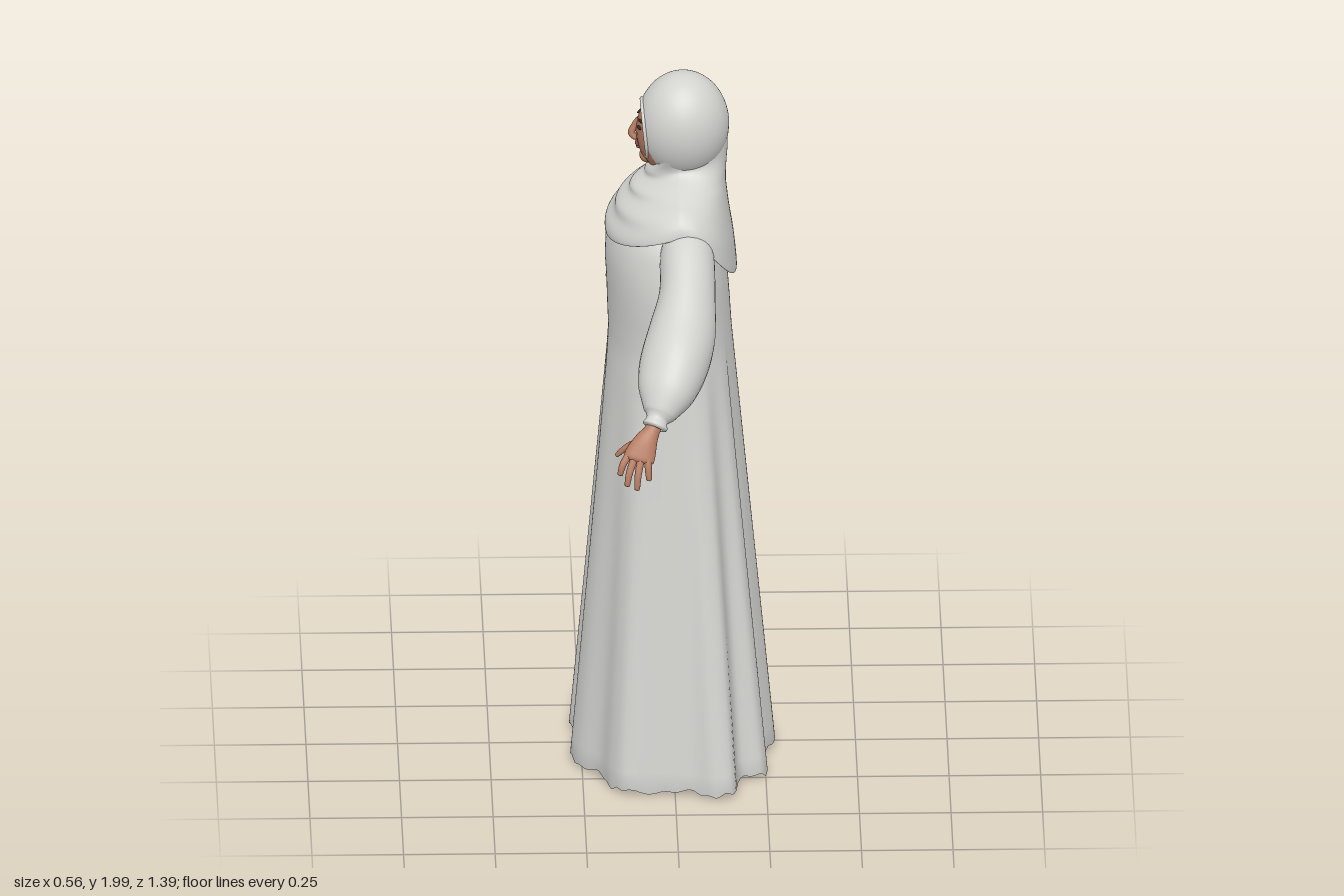
import * as THREE from 'three';

const V = (x, y, z) => new THREE.Vector3(x, y, z);

// Skin a list of closed rings with smooth normals
function loft(rings) {
  const n = rings[0].length, pos = [], idx = [];
  rings.forEach(r => r.forEach(p => pos.push(p.x, p.y, p.z)));
  for (let i = 0; i < rings.length - 1; i++)
    for (let j = 0; j < n; j++) {
      const a = i * n + j, b = i * n + (j + 1) % n;
      idx.push(a, b, a + n, b, b + n, a + n);
    }
  const g = new THREE.BufferGeometry();
  g.setAttribute('position', new THREE.Float32BufferAttribute(pos, 3));
  g.setIndex(idx);
  g.computeVertexNormals();
  return g;
}

// Elliptical tube through nodes [x, y, z, radius along ref, radius across]
function sweep(nodes, ref = V(1, 0, 0), steps = 24, sides = 20, wrinkle = () => 0) {
  const path = new THREE.CatmullRomCurve3(nodes.map(n => V(n[0], n[1], n[2])));
  const size = new THREE.CatmullRomCurve3(nodes.map(n => V(n[3], n[4], 0)), false, 'catmullrom', 0.5);
  const rings = [];
  for (let i = 0; i <= steps; i++) {
    const t = i / steps, p = path.getPoint(t), r = size.getPoint(t), T = path.getTangent(t);
    const U = ref.clone().addScaledVector(T, -ref.dot(T)).normalize();
    const W = T.clone().cross(U);
    const ring = [];
    for (let j = 0; j < sides; j++) {
      const a = j / sides * Math.PI * 2, k = 1 + wrinkle(t, a);
      ring.push(p.clone()
        .addScaledVector(U, Math.max(r.x, 0.0005) * k * Math.cos(a))
        .addScaledVector(W, Math.max(r.y, 0.0005) * k * Math.sin(a)));
    }
    rings.push(ring);
  }
  return loft(rings);
}

export function createModel() {
  const root = new THREE.Group();
  const material = (name, color, side = THREE.FrontSide) => {
    const m = new THREE.MeshStandardMaterial({ color, side });
    m.name = name;
    return m;
  };
  const cloth = material('paleCloth', 0xd2d2cf, THREE.DoubleSide);
  const skin = material('skin', 0xb47a60);
  const dark = material('darkBrown', 0x3a2620);
  const lip = material('lips', 0x94504a);
  const add = (name, geo, mat, parent = root) => {
    const m = new THREE.Mesh(geo, mat);
    m.name = name;
    parent.add(m);
    return m;
  };
  const ball = (name, mat, p, r, parent) => {
    const m = add(name, new THREE.SphereGeometry(1, 24, 16), mat, parent);
    m.position.set(...p);
    m.scale.set(...r);
    return m;
  };

  // Dress: scalloped hem blending straight up into an oval bodice
  const hem = [
    [-.17, -.33], [-.2, -.27], [-.215, -.21], [-.26, -.17], [-.28, -.1], [-.26, -.05], [-.25, .01],
    [-.275, .06], [-.28, .11], [-.26, .17], [-.205, .24], [-.175, .32], [-.14, .36], [-.04, .365],
    [.05, .375], [.11, .4], [.16, .385], [.18, .28], [.24, .26], [.255, .21], [.22, .15], [.255, .09],
    [.28, .02], [.265, -.07], [.22, -.13], [.235, -.2], [.23, -.29], [.18, -.3], [.14, -.395],
    [.09, -.38], [-.03, -.36], [-.13, -.36]
  ];
  const hemCurve = new THREE.CatmullRomCurve3(hem.map(p => V(p[0], 0, p[1])), true);
  const hemPts = Array.from({ length: 192 }, (_, i) => hemCurve.getPoint(i / 192));
  const oval = (p, y, xf, xb, zh) => {
    const a = Math.atan2(p.z / .4, p.x / .28);
    return V((xf + xb) / 2 + (xb - xf) / 2 * Math.cos(a), y, zh * Math.sin(a));
  };
  const waist = [1.25, -.175, .162, .222];
  const dressRings = [hemPts.map((p, i) => V(p.x * .97, .022 + .004 * Math.sin(i * .9), p.z * .97))];
  for (let k = 0; k <= 24; k++) {
    const t = k / 24;
    dressRings.push(hemPts.map((p, i) => {
      const q = p.clone().lerp(oval(p, 0, ...waist.slice(1)), t);
      const ragged = k === 0 ? .005 * Math.sin(i * .55) + .004 * Math.sin(i * 1.3) : 0;
      return q.setY(.016 + (waist[0] - .016) * t + ragged);
    }));
  }
  [[1.33, -.178, .157, .226], [1.4, -.18, .152, .228], [1.46, -.184, .147, .222], [1.52, -.182, .138, .212],
    [1.58, -.163, .13, .198], [1.63, -.12, .12, .15], [1.67, -.06, .09, .06], [1.68, .01, .012, .001]]
    .forEach(r => dressRings.push(hemPts.map(p => oval(p, ...r))));
  add('dress', loft(dressRings), cloth);

  // Headscarf cape: [front x, back x, half width, front y, side y, back y]
  const capeRows = [
    [-.055, .15, .112, 1.75, 1.81, 1.87], [-.075, .151, .09, 1.722, 1.755, 1.79],
    [-.086, .148, .096, 1.7, 1.732, 1.745], [-.118, .146, .13, 1.675, 1.71, 1.7],
    [-.135, .148, .165, 1.648, 1.69, 1.665], [-.16, .156, .205, 1.615, 1.668, 1.6],
    [-.176, .168, .232, 1.58, 1.64, 1.52], [-.185, .176, .241, 1.54, 1.612, 1.435],
    [-.177, .168, .234, 1.54, 1.612, 1.435]
  ];
  const capeSpan = capeRows.length - 1;
  const rowCurves = [0, 3].map(o => new THREE.CatmullRomCurve3(
    capeRows.map(r => V(r[o], r[o + 1], r[o + 2])), false, 'catmullrom', .5));
  const capeRings = [];
  for (let i = 0; i <= 48; i++) {
    const t = i / 48, s = rowCurves[0].getPoint(t), h = rowCurves[1].getPoint(t);
    const flat = 1 - .4 * Math.min(1, t * capeSpan / 6);
    const ring = [];
    for (let j = 0; j < 96; j++) {
      const a = j / 96 * Math.PI * 2, c = Math.cos(a), back = c > 0;
      const w = Math.abs(c), xc = .02;
      const x = back ? xc + (s.y - xc) * Math.pow(w, flat) : xc + (s.x - xc) * w;
      const roll = back ? 0 : .006 * w * Math.sin(t * 26 + a * 2) * Math.sin(Math.PI * t);
      ring.push(V(x - roll, h.y + ((back ? h.z : h.x) - h.y) * w, s.z * Math.sin(a)));
    }
    capeRings.push(ring);
  }
  add('scarfCape', loft(capeRings), cloth);

  // Hood with a round opening for the face, and its rolled rim
  const open = .6, pitch = Math.PI / 2 + .12;
  const hood = new THREE.SphereGeometry(1, 48, 32, 0, Math.PI * 2, open, Math.PI - open);
  hood.rotateZ(pitch).scale(.126, .15, .122).translate(.029, 1.85, 0);
  hood.computeVertexNormals();
  add('scarfHood', hood, cloth);
  const rimPts = Array.from({ length: 32 }, (_, i) => {
    const a = i / 32 * Math.PI * 2;
    return V(Math.sin(open) * Math.cos(a), Math.cos(open), Math.sin(open) * Math.sin(a))
      .applyAxisAngle(V(0, 0, 1), pitch).multiply(V(.126, .15, .122)).add(V(.029, 1.85, 0));
  });
  add('scarfRim', new THREE.TubeGeometry(new THREE.CatmullRomCurve3(rimPts, true), 64, .006, 8, true), cloth);

  // Face
  const face = new THREE.Group();
  face.name = 'face';
  root.add(face);
  ball('faceSurface', skin, [0, 1.83, 0], [.1, .122, .097], face);
  ball('chin', skin, [-.068, 1.757, 0], [.022, .02, .03], face);
  add('nose', sweep([[-.094, 1.868, 0, .004, .006], [-.104, 1.845, 0, .008, .009],
    [-.111, 1.822, 0, .01, .013], [-.1, 1.81, 0, .008, .014], [-.094, 1.808, 0, .001, .001]]), skin, face);
  ball('upperLip', lip, [-.095, 1.793, 0], [.007, .005, .02], face);
  ball('lowerLip', lip, [-.092, 1.784, 0], [.007, .005, .016], face);
  for (const s of [-1, 1]) {
    ball('eye', dark, [-.091, 1.852, s * .034], [.004, .005, .012], face).rotation.y = s * .4;
    ball('eyebrow', dark, [-.088, 1.872, s * .035], [.004, .003, .017], face).rotation.y = s * .4;
  }

  // Arms, hands, legs and feet, mirrored across z
  for (const s of [1, -1]) {
    const side = s > 0 ? 'right' : 'left';
    const m = nodes => nodes.map(n => [n[0], n[1], n[2] * s, n[3], n[4]]);
    const limb = (name, nodes, mat, ref, steps, sides, wrinkle) =>
      add(side + name, sweep(m(nodes), ref, steps, sides, wrinkle), mat);

    limb('Sleeve', [
      [.035, 1.575, .15, .06, .06], [.035, 1.54, .215, .074, .08], [.033, 1.475, .31, .077, .08],
      [.018, 1.4, .395, .092, .085], [-.005, 1.335, .475, .094, .088], [-.028, 1.28, .54, .078, .07],
      [-.048, 1.238, .583, .045, .042], [-.055, 1.226, .595, .03, .03], [-.061, 1.213, .607, .035, .032],
      [-.063, 1.209, .61, .024, .022]
    ], cloth, undefined, 54, 32, (t, a) => .025 * Math.sin(a * 3 + t * 9) * Math.sin(Math.PI * t)
      + .03 * Math.sin(a * 9) * Math.max(0, t - .65));

    limb('Palm', [
      [-.055, 1.23, .595, .022, .018], [-.068, 1.205, .614, .022, .016], [-.085, 1.18, .63, .032, .017],
      [-.1, 1.15, .646, .041, .015], [-.107, 1.133, .655, .038, .012], [-.109, 1.126, .658, .002, .002]
    ], skin);
    const fingers = [
      [[-.133, 1.147, .645], [-.15, 1.122, .662], [-.157, 1.096, .668]],
      [[-.118, 1.138, .652], [-.132, 1.103, .674], [-.138, 1.07, .683]],
      [[-.1, 1.136, .655], [-.108, 1.098, .677], [-.111, 1.06, .687]],
      [[-.08, 1.142, .652], [-.08, 1.112, .668], [-.078, 1.083, .676]],
      [[-.092, 1.182, .624], [-.135, 1.157, .613], [-.165, 1.128, .606]]
    ];
    fingers.forEach(([a, b, c], i) => {
      const tip = c.map((v, k) => v + (v - b[k]) * .08);
      limb(i < 4 ? 'Finger' : 'Thumb', [[...a, .0105, .01], [...b, .0095, .009], [...c, .007, .006],
        [...tip, .001, .001]], skin, i < 4 ? undefined : V(0, 0, 1), 12, 10);
    });

    limb('Leg', [
      [.02, .85, .09, .07, .07], [.02, .5, .1, .052, .05], [.045, .34, .105, .05, .046],
      [.05, .16, .11, .03, .028], [.05, .06, .112, .034, .03]
    ], skin);
    limb('Foot', [
      [.093, .045, .11, .002, .002], [.085, .043, .11, .024, .03], [.045, .052, .112, .03, .042],
      [-.02, .04, .118, .034, .032], [-.08, .026, .125, .042, .02], [-.125, .019, .128, .036, .013],
      [-.137, .018, .128, .002, .002]
    ], skin, V(0, 0, 1), 30);
  }
  return root;
}
